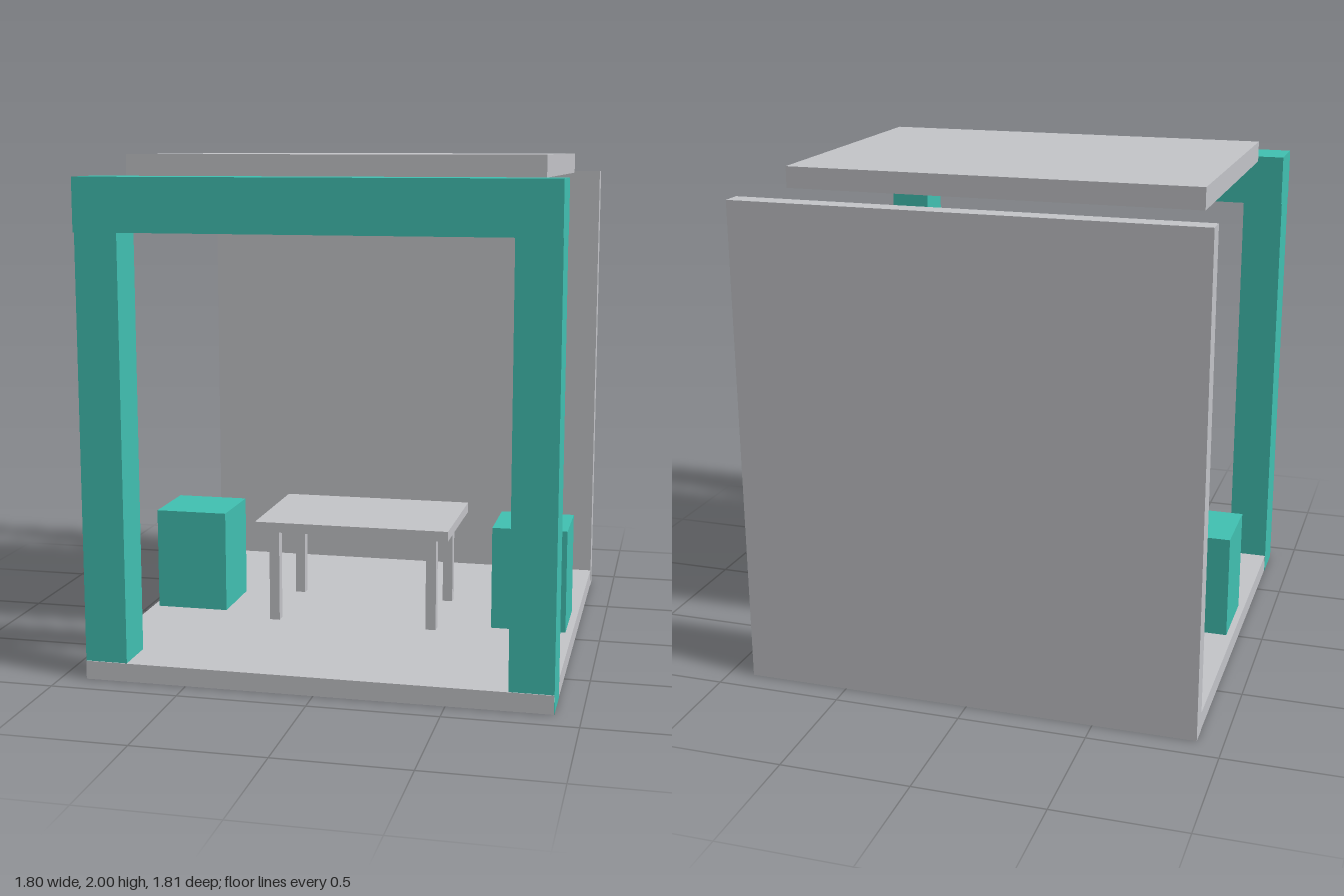
import * as THREE from 'three';

export function createModel() {
  const model = new THREE.Group();
  model.name = 'pavilion';

  const grey = new THREE.MeshStandardMaterial({ color: 0xc4c5c9 });
  grey.name = 'light grey';
  const teal = new THREE.MeshStandardMaterial({ color: 0x41c1b2 });
  teal.name = 'teal';

  // Box given by its lower and upper limits on each axis
  function slab(name, material, [x0, x1], [y0, y1], [z0, z1], parent = model) {
    const mesh = new THREE.Mesh(new THREE.BoxGeometry(x1 - x0, y1 - y0, z1 - z0), material);
    mesh.position.set((x0 + x1) / 2, (y0 + y1) / 2, (z0 + z1) / 2);
    mesh.name = name;
    parent.add(mesh);
    return mesh;
  }

  // Shell: floor, back wall and floating roof panel
  const floorTop = 0.073;
  slab('floor', grey, [-0.899, 0.899], [0.001, floorTop], [-0.9, 0.896]);
  slab('backWall', grey, [-0.9, 0.9], [0, 1.92], [-0.905, -0.825]);
  slab('roofPanel', grey, [-0.81, 0.807], [1.917, 2], [-0.592, 0.581]);

  // Front portal: two posts running through the floor, and a deeper beam
  const portal = new THREE.Group();
  portal.name = 'portal';
  model.add(portal);
  slab('leftPost', teal, [0.732, 0.9], [0, 1.717], [0.715, 0.892], portal);
  slab('rightPost', teal, [-0.9, -0.735], [0, 1.717], [0.715, 0.892], portal);
  slab('beam', teal, [-0.9, 0.9], [1.717, 1.92], [0.695, 0.905], portal);

  // Table with four square legs
  const table = new THREE.Group();
  table.name = 'table';
  model.add(table);
  slab('tableTop', grey, [-0.405, 0.403], [0.457, 0.498], [-0.271, 0.265], table);
  for (const x of [-0.333, 0.328]) {
    for (const z of [-0.213, 0.208]) {
      slab('tableLeg', grey, [x - 0.021, x + 0.021], [floorTop, 0.457], [z - 0.021, z + 0.021], table);
    }
  }

  // Block seats at either end of the table
  slab('leftSeat', teal, [0.566, 0.871], [floorTop, 0.495], [-0.152, 0.146]);
  slab('rightSeat', teal, [-0.873, -0.571], [floorTop, 0.495], [-0.152, 0.146]);

  return model;
}
